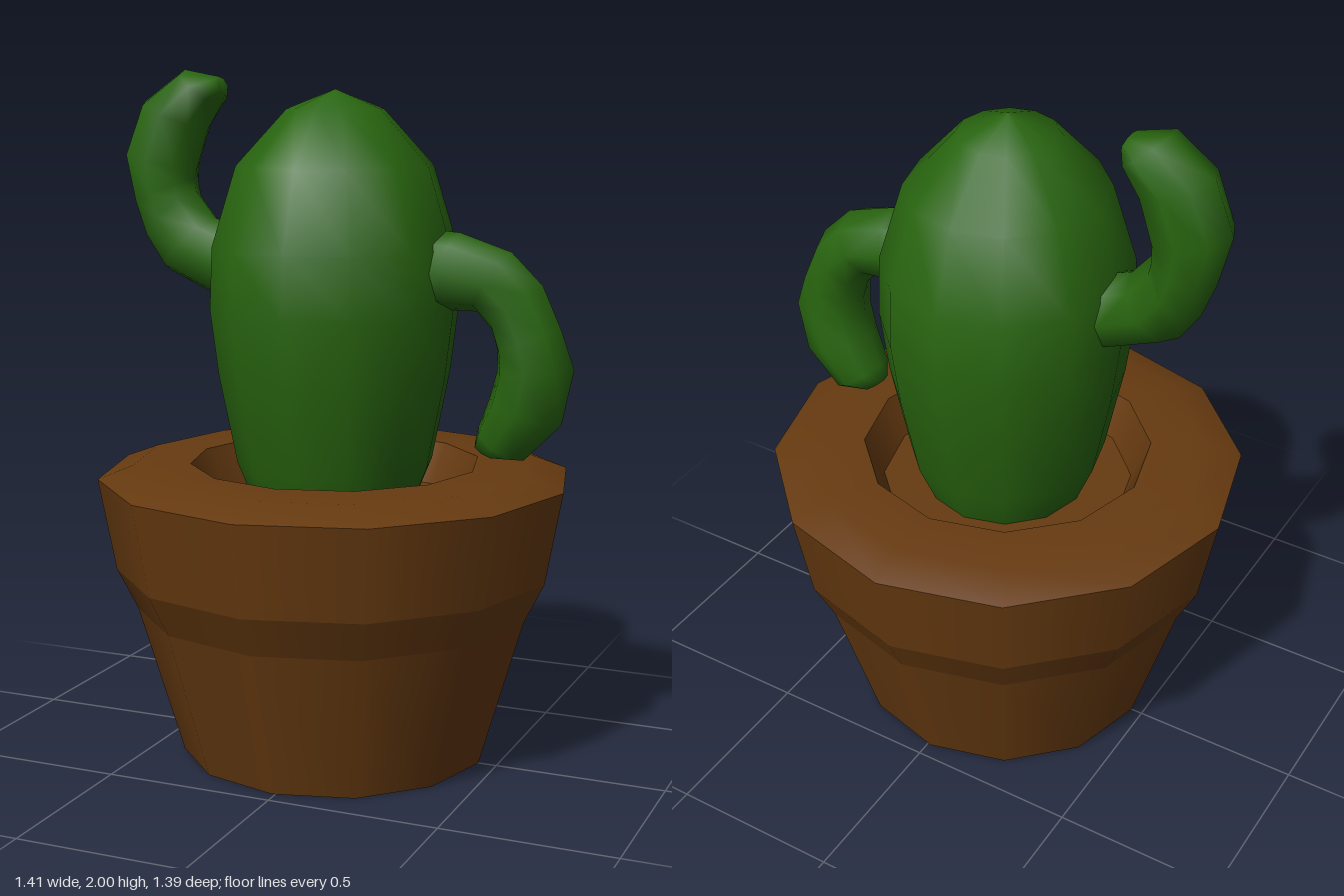
import * as THREE from 'three';

const SIDES = 12;
const clay = new THREE.MeshStandardMaterial({ color: 0x663a10 });
clay.name = 'brown clay';
const green = new THREE.MeshStandardMaterial({ color: 0x28640f });
green.name = 'cactus green';

function addMesh(parent, name, geometry, material) {
  const mesh = new THREE.Mesh(geometry, material);
  mesh.name = name;
  parent.add(mesh);
  return mesh;
}

function lathe(profile) {
  return new THREE.LatheGeometry(profile.map(([r, y]) => new THREE.Vector2(r, y)), SIDES);
}

// Arm skin from cross-sections: [outer x, outer y, inner x, inner y, half depth, z]
function armGeometry(sections) {
  const n = 8, pos = [], index = [];
  for (const [ox, oy, ix, iy, w, z] of sections) {
    const cx = (ox + ix) / 2, cy = (oy + iy) / 2;
    for (let j = 0; j < n; j++) {
      const a = (j / n) * Math.PI * 2, c = Math.cos(a);
      pos.push(cx + (ox - cx) * c, cy + (oy - cy) * c, z + Math.sin(a) * w);
    }
  }
  const last = (sections.length - 1) * n;
  for (let i = 0; i < last; i += n) {
    for (let j = 0; j < n; j++) {
      const k = (j + 1) % n;
      index.push(i + j, i + k, i + n + j, i + k, i + n + k, i + n + j);
    }
  }
  // close both ends
  for (let j = 1; j < n - 1; j++) {
    index.push(0, j + 1, j, last, last + j, last + j + 1);
  }
  const g = new THREE.BufferGeometry();
  g.setAttribute('position', new THREE.Float32BufferAttribute(pos, 3));
  g.setIndex(index);
  g.computeVertexNormals();
  return g;
}

export function createModel() {
  const model = new THREE.Group();
  model.name = 'pottedCactus';

  // Pot: each band is its own lathe so the edges between bands stay crisp
  const pot = new THREE.Group();
  pot.name = 'pot';
  pot.position.x = -0.01;
  model.add(pot);
  const bands = {
    potBase: [[0, 0], [0.455, 0]],
    potWall: [[0.455, 0], [0.585, 0.44]],
    potLedge: [[0.585, 0.44], [0.645, 0.56]],
    potCollar: [[0.645, 0.56], [0.695, 0.83]],
    potRim: [[0.695, 0.83], [0.59, 0.87], [0.425, 0.87]],
    potInside: [[0.425, 0.87], [0.37, 0.75]],
    soil: [[0.37, 0.75], [0, 0.75]],
  };
  for (const [name, profile] of Object.entries(bands)) {
    addMesh(pot, name, lathe(profile), clay);
  }

  // Cactus body
  const body = addMesh(model, 'cactusBody', lathe([
    [0.24, 0.74], [0.295, 0.87], [0.348, 1.13], [0.372, 1.32],
    [0.365, 1.5], [0.293, 1.73], [0.143, 1.89], [0, 1.945],
  ]), green);
  body.position.x = -0.01;
  body.scale.x = 0.97;

  // Arm raised on the right
  addMesh(model, 'rightArm', armGeometry([
    [-0.24, 1.33, -0.24, 1.55, 0.11, 0.01],
    [-0.36, 1.33, -0.335, 1.55, 0.11, 0.01],
    [-0.54, 1.41, -0.39, 1.57, 0.11, 0.01],
    [-0.6, 1.5, -0.455, 1.65, 0.11, 0.01],
    [-0.64, 1.61, -0.458, 1.68, 0.11, 0.01],
    [-0.675, 1.76, -0.45, 1.71, 0.11, 0.01],
    [-0.615, 1.91, -0.41, 1.83, 0.108, 0.01],
    [-0.485, 2.0, -0.365, 1.9, 0.095, 0.01],
    [-0.375, 1.98, -0.355, 1.93, 0.04, 0.01],
  ]), green);

  // Arm drooping on the left
  addMesh(model, 'leftArm', armGeometry([
    [0.24, 1.56, 0.24, 1.33, 0.11, 0],
    [0.37, 1.55, 0.33, 1.33, 0.11, 0],
    [0.52, 1.5, 0.42, 1.33, 0.108, -0.005],
    [0.61, 1.41, 0.465, 1.28, 0.105, -0.01],
    [0.665, 1.29, 0.482, 1.22, 0.105, -0.01],
    [0.705, 1.18, 0.48, 1.16, 0.105, -0.01],
    [0.67, 1.02, 0.46, 1.09, 0.105, -0.015],
    [0.56, 0.91, 0.425, 1.0, 0.09, -0.02],
    [0.48, 0.91, 0.415, 0.95, 0.045, -0.02],
  ]), green);

  return model;
}
